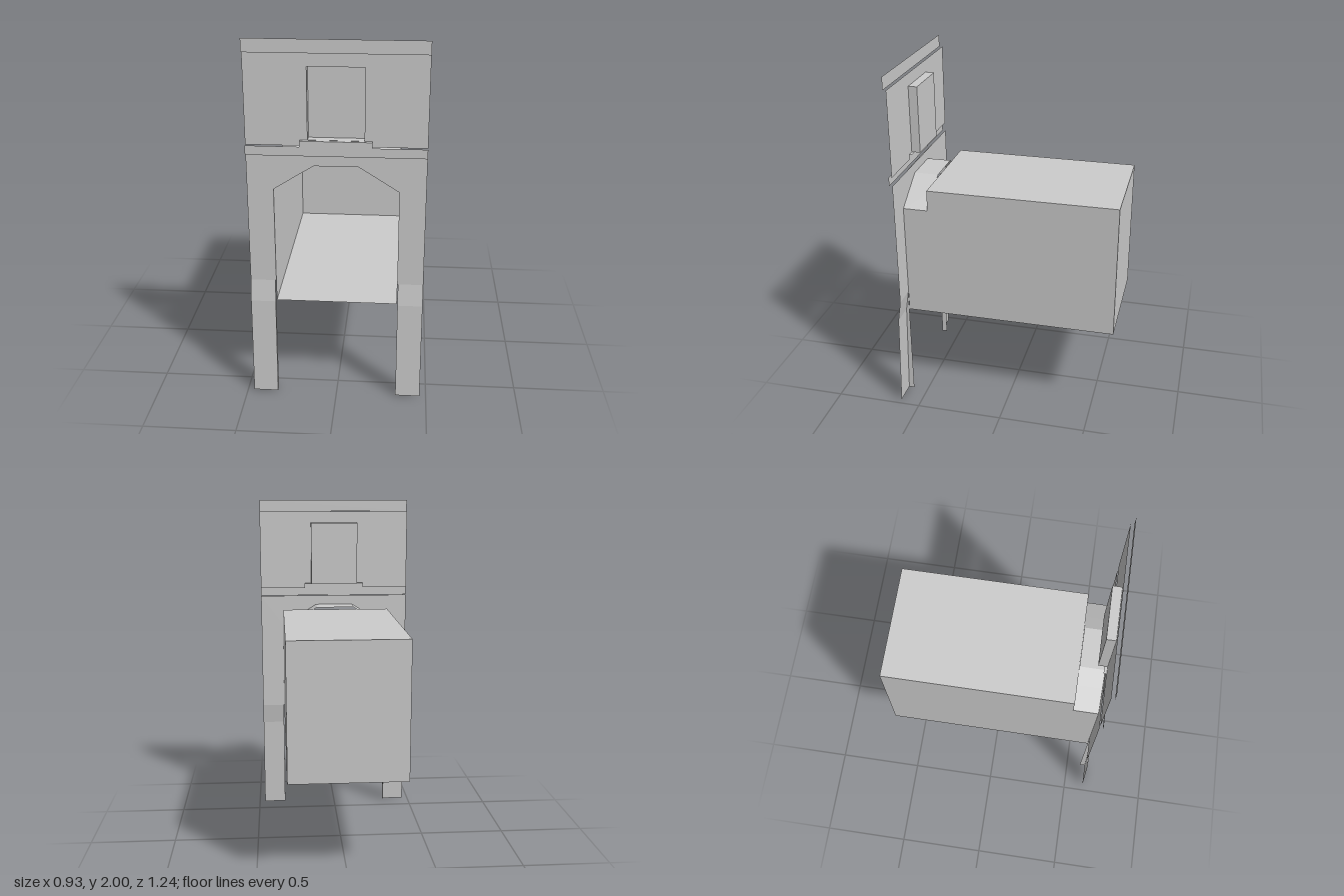
import * as THREE from 'three';

const material = new THREE.MeshStandardMaterial({
  color: 0xcccccc, side: THREE.DoubleSide, flatShading: true,
});

// Open surface between two matching rows of 3D points
function loft(name, a, b) {
  const pos = [], index = [];
  a.forEach((p, i) => {
    pos.push(...p, ...b[i]);
    if (i) {
      const k = 2 * i;
      index.push(k - 2, k, k - 1, k, k + 1, k - 1);
    }
  });
  const g = new THREE.BufferGeometry();
  g.setAttribute('position', new THREE.Float32BufferAttribute(pos, 3));
  g.setIndex(index);
  const flat = g.toNonIndexed();
  flat.computeVertexNormals();
  const mesh = new THREE.Mesh(flat, material);
  mesh.name = name;
  return mesh;
}

// Outline in x, y carried from z0 to z1
const ribbon = (name, pts, z0, z1) =>
  loft(name, pts.map(([x, y]) => [x, y, z0]), pts.map(([x, y]) => [x, y, z1]));

const toShape = pts => new THREE.Shape(pts.map(([x, y]) => new THREE.Vector2(x, y)));

// Flat vertical panel at depth z
function panel(name, pts, z) {
  const mesh = new THREE.Mesh(new THREE.ShapeGeometry(toShape(pts)), material);
  mesh.position.z = z;
  mesh.name = name;
  return mesh;
}

// Completes a left-half outline (running toward the middle) with its mirror image
const mirrored = pts => [...pts, ...pts.map(([x, y]) => [-x, y]).reverse()];

const rect = (w, y0, y1) => [[-w, y0], [w, y0], [w, y1], [-w, y1]];

export function createModel() {
  const model = new THREE.Group();
  model.name = 'facade';
  const W = 0.465, IN = 0.326, WALL = 0.587, FRONT = 0.605;
  const BACK = -0.62, MID = 0.447, FLOOR = 0.56, ROOF = 1.33;
  const archInner = mirrored([[IN, 1.21], [0.205, 1.287], [0.115, 1.343]]);
  const archOuter = mirrored([[0.4, 1.28], [0.3, 1.343], [0.21, 1.4]]);

  // Long room: walls and roof, back, and floor reaching to the facade
  model.add(ribbon('roomShell', [[IN, FLOOR], [IN, ROOF], [-IN, ROOF], [-IN, FLOOR]], BACK, MID));
  model.add(panel('roomBack', rect(IN, FLOOR, ROOF), BACK));
  model.add(ribbon('floor', [[-IN, FLOOR], [IN, FLOOR]], BACK, WALL));

  // Arched passage between room and facade
  model.add(ribbon('archPassage', [[IN, FLOOR], ...archInner, [-IN, FLOOR]], MID, WALL));

  // Lower wall around the arch, and the trim on it
  model.add(panel('lowerWall', [
    [W, 0.68], [W, 1.4], [-W, 1.4], [-W, 0.68], [-IN, 0.68],
    ...[...archInner].reverse(), [IN, 0.68],
  ], WALL));
  model.add(loft('archTrim',
    archInner.map(([x, y]) => [x, y, WALL + 0.004]),
    archOuter.map(([x, y]) => [x, y, WALL + 0.004])));

  // Upper wall with a window opening
  const NW = 0.145, SILL = 1.48, HEAD = 1.86;
  const upper = toShape([[-W, 1.45], [-0.185, 1.45], [-0.185, SILL], [0.185, SILL],
    [0.185, 1.45], [W, 1.45], [W, 1.93], [-W, 1.93]]);
  upper.holes.push(new THREE.Path(
    rect(NW, SILL + 0.001, HEAD).map(([x, y]) => new THREE.Vector2(x, y))));
  const upperWall = new THREE.Mesh(new THREE.ShapeGeometry(upper), material);
  upperWall.position.z = WALL;
  upperWall.name = 'upperWall';
  model.add(upperWall);

  // Recessed window and its sill
  const niche = rect(NW, SILL, HEAD);
  model.add(ribbon('windowReveal', [...niche, niche[0]], 0.537, WALL));
  model.add(panel('windowBack', niche, 0.537));
  model.add(ribbon('windowSill', [[-0.185, SILL], [0.185, SILL]], 0.57, FRONT));

  // Raised bands
  model.add(panel('ledge', mirrored([[W, 1.4], [W, 1.45], [0.185, 1.45], [0.185, SILL]]), FRONT));
  model.add(panel('topBand', rect(W, 1.93, 2), FRONT));

  // Pillar bases: leaning face, sloped cap and a side toward the opening
  const profile = [[0, 0.62], [0.56, 0.605], [0.68, WALL]];
  for (const s of [1, -1]) {
    const base = new THREE.Group();
    base.name = s > 0 ? 'leftPillarBase' : 'rightPillarBase';
    const at = x => profile.map(([y, z]) => [s * x, y, z]);
    base.add(loft('baseFace', at(0.33), at(W)));
    base.add(loft('baseSide', at(0.33), profile.map(([y]) => [s * 0.33, y, WALL])));
    model.add(base);
  }
  return model;
}
